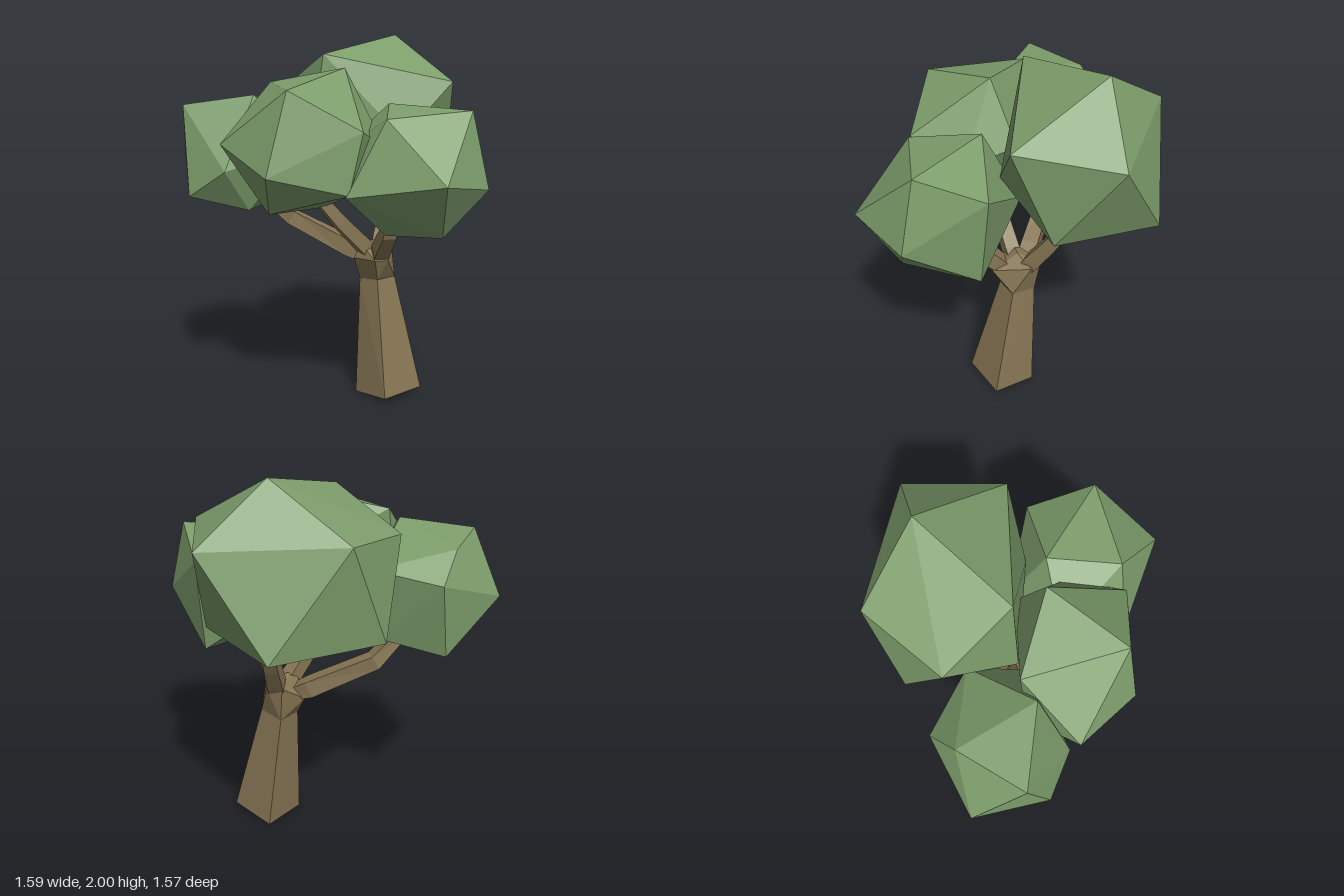
import * as THREE from 'three';
import { ConvexGeometry } from 'three/addons/geometries/ConvexGeometry.js';

const bark = new THREE.MeshStandardMaterial({ color: 0x877654, flatShading: true });
const leaf = new THREE.MeshStandardMaterial({ color: 0x7d9d6b, flatShading: true });

// Faceted solid wrapped around a few corner points
function solid(name, corners, material) {
  const points = corners.map((p) => new THREE.Vector3(...p));
  const mesh = new THREE.Mesh(new ConvexGeometry(points), material);
  mesh.name = name;
  return mesh;
}

// Four-sided tapering limb along a bent path; each point is [x, y, z, radius]
function limb(name, path) {
  const centres = path.map((p) => new THREE.Vector3(p[0], p[1], p[2]));
  const rings = centres.map((c, i) => {
    const ahead = centres[Math.min(i + 1, centres.length - 1)];
    const behind = centres[Math.max(i - 1, 0)];
    const dir = ahead.clone().sub(behind).normalize();
    const side = new THREE.Vector3(0, 1, 0).cross(dir).normalize();
    const over = dir.clone().cross(side);
    return [0, 1, 2, 3].map((k) => {
      const a = Math.PI / 4 + (k * Math.PI) / 2;
      return c.clone()
        .addScaledVector(side, Math.cos(a) * path[i][3])
        .addScaledVector(over, Math.sin(a) * path[i][3]);
    });
  });
  const pos = [];
  const quad = (a, b, c, d) => [a, b, c, a, c, d].forEach((v) => pos.push(v.x, v.y, v.z));
  for (let i = 0; i < rings.length - 1; i++) {
    for (let k = 0; k < 4; k++) {
      const n = (k + 1) % 4;
      quad(rings[i][k], rings[i][n], rings[i + 1][n], rings[i + 1][k]);
    }
  }
  const [s, e] = [rings[0], rings[rings.length - 1]];
  quad(s[3], s[2], s[1], s[0]);
  quad(e[0], e[1], e[2], e[3]);
  const geometry = new THREE.BufferGeometry();
  geometry.setAttribute('position', new THREE.Float32BufferAttribute(pos, 3));
  geometry.computeVertexNormals();
  const mesh = new THREE.Mesh(geometry, bark);
  mesh.name = name;
  return mesh;
}

export function createModel() {
  const tree = new THREE.Group();
  tree.name = 'tree';

  // Tapering square trunk, and the knot where the branches split
  const trunkTop = [[0.1, 0.67, 0.05], [0.225, 0.67, 0.03], [0.205, 0.65, -0.11], [0.07, 0.65, -0.09]];
  const trunkBase = [[0.05, 0.04, 0.215], [0.315, 0.04, 0.17], [0.27, 0, -0.08], [0.015, 0, -0.04]];
  tree.add(solid('trunk', [...trunkBase, ...trunkTop], bark));
  tree.add(solid('fork', [...trunkTop,
    [0.02, 0.78, -0.07], [0.26, 0.84, -0.06], [0.13, 0.79, 0.11], [0.06, 0.79, 0.09],
    [0.08, 0.76, -0.16], [0.22, 0.85, -0.14], [0.05, 0.87, -0.05], [0.15, 0.88, -0.03],
  ], bark));

  // Branches, each ending inside its crown
  tree.add(limb('branchLeft', [[0.17, 0.76, -0.05, 0.045], [0.215, 0.86, -0.09, 0.06], [0.29, 1.0, -0.15, 0.053], [0.37, 1.17, -0.22, 0.04]]));
  tree.add(limb('branchFront', [[0.13, 0.76, 0, 0.045], [0.1, 0.84, 0.08, 0.06], [0.07, 0.96, 0.2, 0.053], [0.06, 1.1, 0.25, 0.045]]));
  tree.add(limb('branchRight', [[0.13, 0.77, -0.03, 0.045], [0.06, 0.85, -0.03, 0.056], [-0.09, 1.0, -0.03, 0.05], [-0.2, 1.13, -0.04, 0.042]]));
  tree.add(limb('branchBackRight', [[0.12, 0.77, -0.07, 0.045], [0.05, 0.82, -0.16, 0.065], [-0.2, 0.98, -0.39, 0.056], [-0.37, 1.13, -0.43, 0.045]]));

  // Leaf crowns: irregular twenty-sided lumps
  tree.add(solid('crownLeft', [
    [0.447, 2, -0.33], [-0.11, 1.89, -0.17], [0.49, 1.745, 0.178], [0.79, 1.71, -0.24],
    [0.3, 1.745, -0.722], [-0.155, 1.7, -0.575], [0.22, 1.45, 0.105], [0.585, 1.25, -0.01],
    [0.64, 1.24, -0.56], [0.065, 1.246, -0.715], [-0.18, 1.34, -0.2], [0.2, 1.06, -0.25],
  ], leaf));
  tree.add(solid('crownFront', [
    [-0.1, 1.585, 0.45], [0.105, 1.64, 0.147], [0.315, 1.62, 0.575], [0.455, 1.49, 0.265],
    [0.015, 1.295, 0.785], [0.355, 1.24, 0.665], [0.4, 0.99, 0.285], [0.13, 1.01, 0.6],
    [-0.285, 1.21, 0.38], [-0.015, 0.985, 0.31], [-0.17, 1.38, 0.06], [0.18, 1.27, -0.03],
  ], leaf));
  tree.add(solid('crownRight', [
    [-0.5, 1.72, 0.195], [-0.085, 1.82, 0.02], [-0.205, 1.525, 0.41], [-0.62, 1.305, 0.197],
    [-0.697, 1.44, -0.19], [-0.36, 1.745, -0.3], [-0.27, 1.22, 0.385], [-0.54, 1.1, 0.05],
    [-0.14, 1.07, -0.13], [-0.43, 1.3, -0.31], [0.06, 1.49, -0.06], [0.04, 1.42, 0.22],
  ], leaf));
  tree.add(solid('crownBackRight', [
    [-0.685, 1.33, -0.785], [-0.77, 1.625, -0.53], [-0.795, 1.145, -0.415], [-0.28, 1.455, -0.75],
    [-0.435, 1.6, -0.69], [-0.665, 1.29, -0.22], [-0.36, 1.065, -0.73], [-0.467, 1.68, -0.278],
    [-0.11, 1.5, -0.44], [-0.18, 1.12, -0.44], [-0.25, 1.4, -0.18], [-0.51, 1.065, -0.28],
  ], leaf));

  return tree;
}
